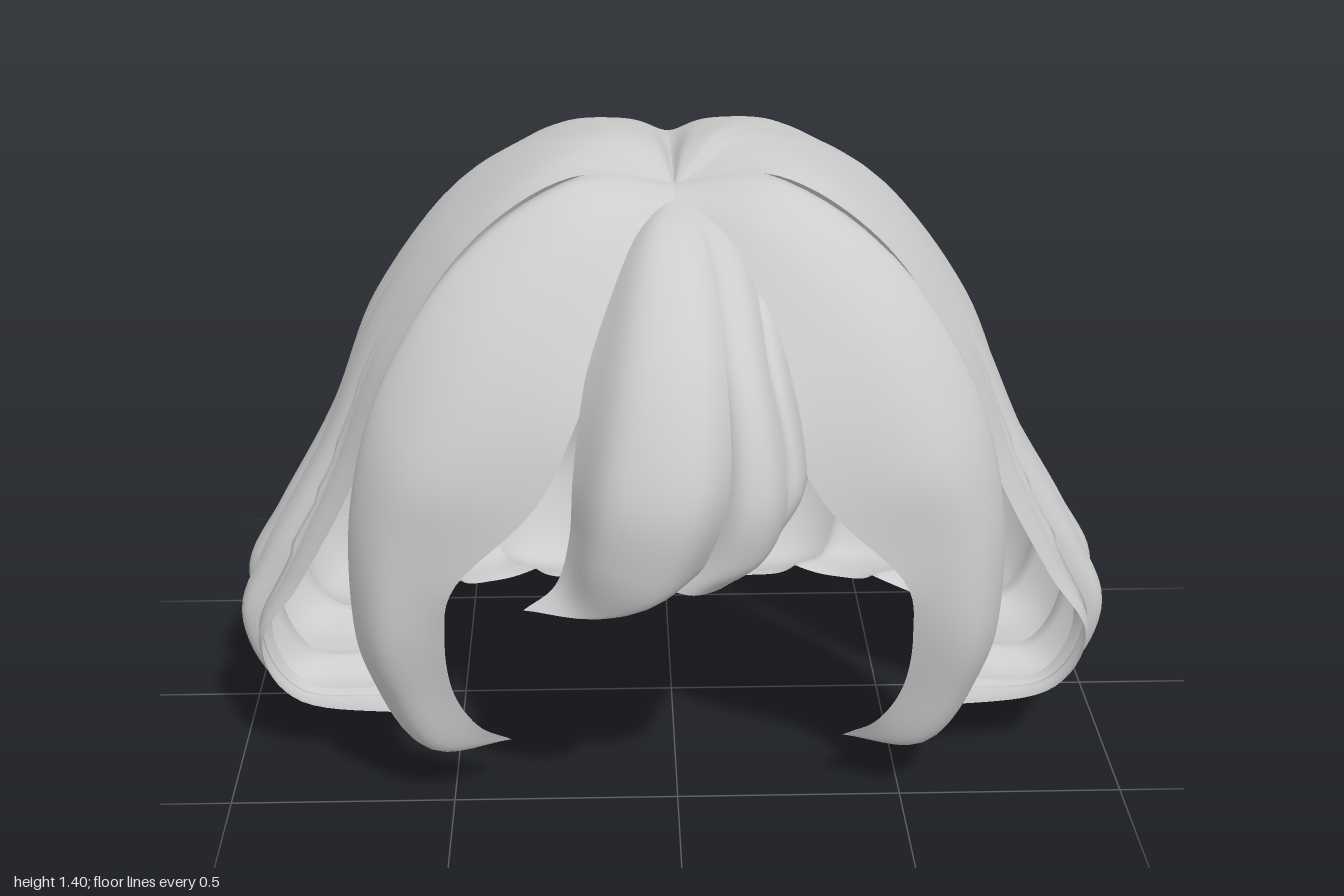
import * as THREE from 'three';

const hairGrey = new THREE.MeshStandardMaterial({ color: 0xcccccc, side: THREE.DoubleSide });
hairGrey.name = 'hairGrey';

const V = (p) => new THREE.Vector3(...p);
const spline = (pts) => new THREE.CatmullRomCurve3(pts, false, 'catmullrom', 0.5);

// Smooth sheet through rows of points; shape() may adjust each point
function loft(rows, nu, nv, { mirror = false, flip = false, shape } = {}) {
  const curves = rows.map((r) => spline(r.map(V)));
  const columns = [];
  for (let j = 0; j <= nv; j++) columns.push(spline(curves.map((c) => c.getPoint(j / nv))));
  const pos = [], idx = [];
  for (let i = 0; i <= nu; i++) {
    for (let j = 0; j <= nv; j++) {
      const p = columns[j].getPoint(i / nu);
      if (shape) shape(p, i / nu, j / nv);
      pos.push(mirror ? -p.x : p.x, p.y, p.z);
      if (i === nu || j === nv) continue;
      const a = i * (nv + 1) + j, b = a + 1, c = a + nv + 1, d = c + 1;
      if (mirror !== flip) idx.push(a, c, b, b, c, d);
      else idx.push(a, b, c, b, d, c);
    }
  }
  const g = new THREE.BufferGeometry();
  g.setAttribute('position', new THREE.Float32BufferAttribute(pos, 3));
  g.setIndex(idx);
  g.computeVertexNormals();
  return g;
}

// Meridians of the big shell, from crown to curled hem (left half)
const crown = [0, 1.35, 0.2];
const sideLines = [
  [[.22, 1.385, .24], [.44, 1.26, .31], [.6, 1.03, .37], [.7, .75, .39], [.83, .5, .37], [.93, .33, .35], [.85, .18, .34], [.58, .15, .35]],
  [[.25, 1.39, .19], [.48, 1.25, .19], [.66, 1.02, .2], [.79, .75, .21], [.93, .5, .22], [.99, .33, .22], [.9, .15, .2], [.68, .13, .18]],
  [[.24, 1.4, .12], [.5, 1.25, .03], [.68, 1.02, -.02], [.79, .75, -.03], [.92, .52, -.03], [1, .35, -.03], [.92, .16, -.03], [.72, .12, -.03]],
  [[.2, 1.41, .03], [.47, 1.27, -.15], [.66, 1, -.28], [.76, .75, -.35], [.86, .5, -.38], [.92, .33, -.4], [.85, .13, -.38], [.65, .09, -.32]],
];
const backLines = [
  [[.15, 1.415, 0], [.38, 1.3, -.27], [.52, 1.05, -.48], [.58, .78, -.57], [.64, .5, -.62], [.69, .3, -.64], [.62, .09, -.6], [.46, .06, -.5]],
  [[.1, 1.415, -.02], [.24, 1.33, -.37], [.3, 1.08, -.61], [.32, .8, -.73], [.33, .5, -.79], [.33, .25, -.82], [.3, .03, -.72], [.25, .04, -.56]],
  [[0, 1.385, -.03], [0, 1.33, -.38], [0, 1.08, -.62], [0, .8, -.745], [0, .5, -.79], [0, .24, -.82], [0, .02, -.7], [0, .03, -.54]],
];
const shellLines = [...sideLines, ...backLines].map((l) => [crown, ...l]);

// Grooves between the strands, and the centre parting
function grooves(p, u, v) {
  const k = u * 6 - 0.9 * Math.max(0, 0.6 - v);
  const valley = Math.pow(1 - Math.abs(Math.cos(Math.PI * k)), 1.5);
  const depth = (0.1 - 0.06 * u) * THREE.MathUtils.smoothstep(v, 0.25, 0.75);
  const inside = k > 0.6 ? 1 : 0.3;
  const pull = 1 - valley * depth * inside;
  p.x *= pull;
  p.z = -0.05 + (p.z + 0.05) * pull;
  p.y += valley * 0.04 * inside * THREE.MathUtils.smoothstep(v, 0.75, 1);
  const part = 1 - 0.025 * Math.exp(-(((1 - u) / 0.04) ** 2)) * Math.min(1, v * 8);
  p.y = 0.4 + (p.y - 0.4) * part;
  p.z *= part;
}

// Long lock framing the face: rows run down, points run from back edge to inner edge
const sideLock = [
  [[0, 1.36, .2], [0, 1.36, .23], [0, 1.35, .27], [0, 1.33, .3]],
  [[.2, 1.385, .23], [.23, 1.375, .3], [.2, 1.31, .4], [.1, 1.22, .45]],
  [[.44, 1.25, .31], [.47, 1.22, .4], [.4, 1.12, .53], [.2, 1, .6]],
  [[.59, 1, .38], [.63, .98, .47], [.53, .88, .61], [.3, .8, .65]],
  [[.66, .75, .39], [.7, .73, .48], [.62, .7, .6], [.47, .62, .64]],
  [[.67, .5, .38], [.71, .48, .47], [.64, .47, .6], [.5, .48, .61]],
  [[.65, .33, .38], [.68, .32, .46], [.61, .31, .57], [.49, .33, .57]],
  [[.55, .19, .41], [.58, .16, .46], [.53, .16, .53], [.44, .22, .53]],
  [[.37, .15, .47], [.37, .15, .47], [.37, .15, .47], [.37, .15, .47]],
];

// Fringe strands: points run from the model's right to its left
const fringeRoot = [[-.03, 1.34, .24], [-.01, 1.35, .25], [.02, 1.35, .25], [.04, 1.34, .24]];
const fringe = {
  sweptFringe: [
    fringeRoot,
    [[-.12, 1.26, .38], [-.06, 1.3, .44], [.03, 1.3, .44], [.1, 1.28, .38]],
    [[-.19, 1.07, .56], [-.1, 1.12, .67], [.04, 1.13, .68], [.13, 1.1, .6]],
    [[-.22, .88, .65], [-.14, .9, .79], [.03, .9, .815], [.13, .92, .7]],
    [[-.23, .74, .66], [-.17, .73, .79], [-.02, .72, .82], [.1, .78, .72]],
    [[-.26, .63, .66], [-.2, .6, .74], [-.1, .62, .78], [0, .66, .72]],
    [[-.33, .57, .66], [-.33, .57, .66], [-.32, .57, .66], [-.32, .57, .66]],
  ],
  middleFringe: [
    fringeRoot,
    [[.02, 1.28, .4], [.07, 1.29, .43], [.12, 1.28, .42], [.16, 1.25, .38]],
    [[.05, 1.1, .6], [.1, 1.1, .66], [.16, 1.09, .65], [.2, 1.07, .57]],
    [[.06, .9, .7], [.12, .88, .77], [.19, .88, .75], [.24, .88, .64]],
    [[.03, .73, .72], [.09, .72, .77], [.17, .73, .75], [.22, .77, .66]],
    [[-.02, .64, .72], [.03, .64, .74], [.09, .65, .72], [.14, .68, .68]],
  ],
  leftFringe: [
    fringeRoot,
    [[.1, 1.27, .38], [.14, 1.26, .4], [.17, 1.25, .38], [.2, 1.22, .35]],
    [[.15, 1.08, .58], [.19, 1.07, .62], [.22, 1.06, .6], [.25, 1.03, .53]],
    [[.18, .9, .67], [.22, .88, .7], [.25, .87, .68], [.27, .87, .6]],
    [[.16, .75, .68], [.19, .75, .7], [.22, .77, .67], [.24, .8, .62]],
    [[.13, .68, .68], [.13, .68, .68], [.14, .69, .67], [.14, .69, .67]],
  ],
};

export function createModel() {
  const group = new THREE.Group();
  group.name = 'hair';
  const add = (name, geometry) => {
    const mesh = new THREE.Mesh(geometry, hairGrey);
    mesh.name = name;
    group.add(mesh);
  };
  for (const mirror of [false, true]) {
    const side = mirror ? 'right' : 'left';
    add(side + 'BackShell', loft(shellLines, 120, 64, { mirror, shape: grooves }));
    add(side + 'SideLock', loft(sideLock, 48, 20, { mirror }));
  }
  for (const [name, rows] of Object.entries(fringe)) add(name, loft(rows, 36, 16, { flip: true }));
  return group;
}
